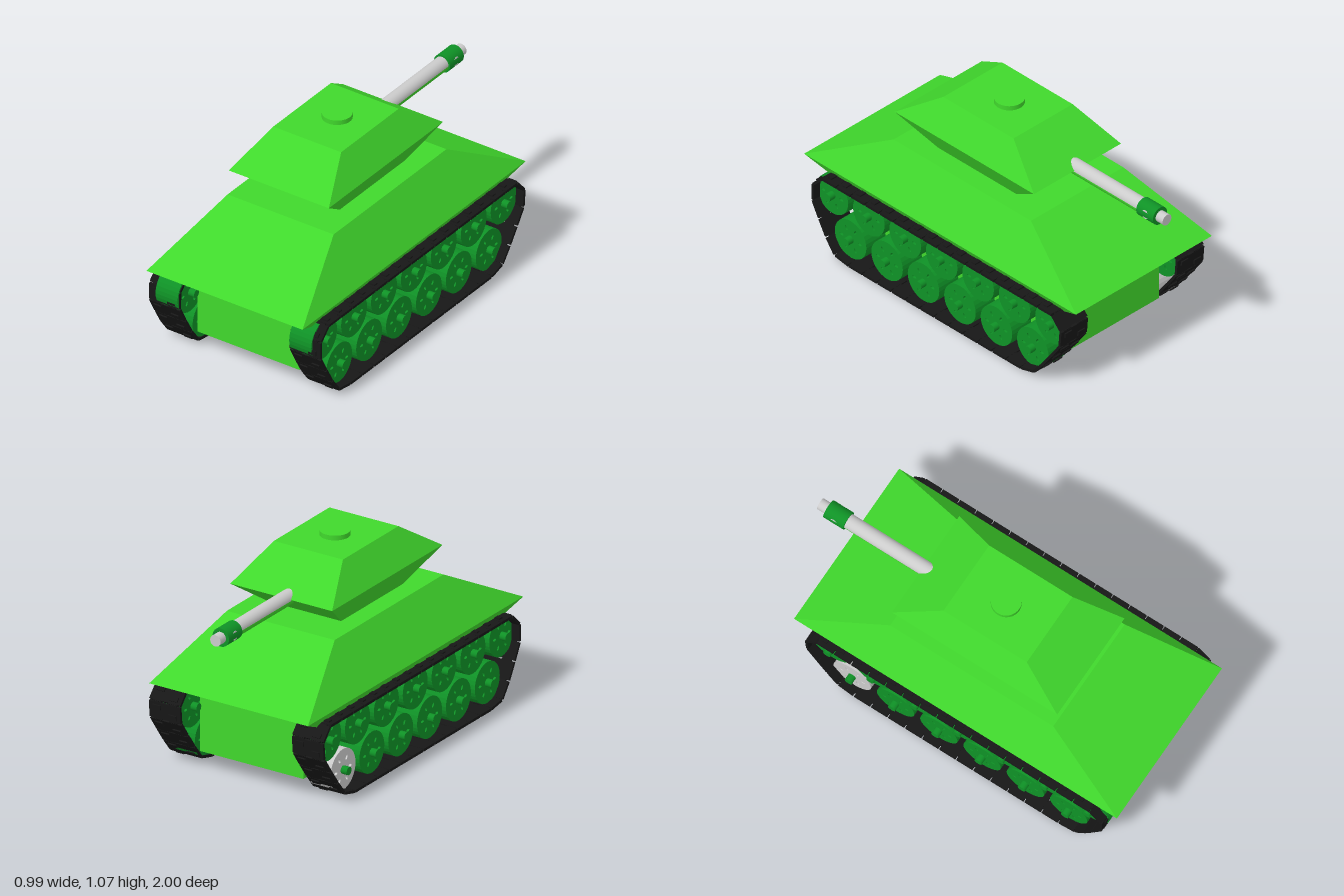
import * as THREE from 'three';
import { mergeGeometries } from 'three/addons/utils/BufferGeometryUtils.js';

const mat = (color, extra = {}) => new THREE.MeshStandardMaterial({ color, ...extra });

function add(parent, name, geometry, material, x = 0, y = 0, z = 0) {
  const mesh = new THREE.Mesh(geometry, material);
  mesh.name = name;
  mesh.position.set(x, y, z);
  parent.add(mesh);
  return mesh;
}

// Faceted solid through stacked rectangles [y, xMin, xMax, zMin, zMax], bottom to top
function stack(rings) {
  const corners = rings.map(([y, x0, x1, z0, z1]) => [[x0, y, z1], [x1, y, z1], [x1, y, z0], [x0, y, z0]]);
  const pos = [];
  const quad = (a, b, c, d) => pos.push(...a, ...b, ...c, ...a, ...c, ...d);
  for (let k = 0; k + 1 < corners.length; k++) {
    for (let i = 0; i < 4; i++) {
      const j = (i + 1) % 4;
      quad(corners[k][i], corners[k][j], corners[k + 1][j], corners[k + 1][i]);
    }
  }
  const [a, b, c, d] = corners[0];
  quad(d, c, b, a);
  quad(...corners[corners.length - 1]);
  const g = new THREE.BufferGeometry();
  g.setAttribute('position', new THREE.Float32BufferAttribute(pos, 3));
  g.computeVertexNormals();
  return g;
}

// Cylinder lying along z or x
const rodZ = (r, len, ...rest) => new THREE.CylinderGeometry(r, r, len, 24, 1, ...rest).rotateX(-Math.PI / 2);
const rodX = (r, len) => new THREE.CylinderGeometry(r, r, len, 16).rotateZ(Math.PI / 2);

// Road wheel disc pierced by a ring of six slots
function wheelGeometry(radius, width) {
  const shape = new THREE.Shape().absarc(0, 0, radius, 0, Math.PI * 2);
  for (let i = 0; i < 6; i++) {
    const a = (i / 6) * Math.PI * 2;
    const hole = new THREE.Path();
    hole.absellipse(Math.cos(a) * 0.062, Math.sin(a) * 0.062, 0.013, 0.007, 0, Math.PI * 2, true, a);
    shape.holes.push(hole);
  }
  return new THREE.ExtrudeGeometry(shape, { depth: width, bevelEnabled: false, curveSegments: 16 })
    .translate(0, 0, -width / 2).rotateY(Math.PI / 2);
}

// Track loop of chained link plates with raised pads
function trackGeometry(width, count) {
  const loop = [[-0.735, 0.437], [0.85, 0.437], [0.885, 0.415], [0.917, 0.335], [0.9, 0.27], [0.775, 0.05],
    [0.73, 0.016], [-0.58, 0.016], [-0.625, 0.05], [-0.785, 0.27], [-0.807, 0.335], [-0.78, 0.415], [-0.735, 0.437]];
  const path = new THREE.Path(loop.map(([z, y]) => new THREE.Vector2(z, y)));
  const pts = path.getSpacedPoints(count);
  const parts = [];
  for (let i = 0; i < count; i++) {
    const p = pts[i], q = pts[i + 1];
    const len = p.distanceTo(q);
    const place = (g) => parts.push(g
      .rotateX(-Math.atan2(q.y - p.y, q.x - p.x))
      .translate(0, (p.y + q.y) / 2, (p.x + q.x) / 2));
    place(new THREE.BoxGeometry(width, 0.014, len * 0.93));
    for (const s of [-1, 1]) {
      place(new THREE.BoxGeometry(0.05, 0.012, len * 1.02).translate(s * 0.045, 0, 0));
      place(new THREE.BoxGeometry(0.045, 0.008, 0.025).translate(s * 0.045, 0.01, s * 0.018));
    }
  }
  return mergeGeometries(parts);
}

export function createModel() {
  const model = new THREE.Group();
  model.name = 'tank';
  const green = mat(0x40d82c, { flatShading: true });
  const smoothGreen = mat(0x40d82c);
  const wheelGreen = mat(0x0f9226);
  const rubber = mat(0x171717);
  const grey = mat(0xcccccc);

  // Hull: lower box, flared underside and sloped upper armour
  add(model, 'hull', stack([
    [0.095, -0.305, 0.295, -0.66, 0.8],
    [0.39, -0.305, 0.295, -0.66, 0.8],
    [0.39, -0.41, 0.4, -0.66, 0.8],
    [0.485, -0.465, 0.455, -0.86, 1],
    [0.735, -0.315, 0.31, -0.405, 0.535],
  ]), green);

  // Turret and hatch
  const turret = new THREE.Group();
  turret.name = 'turret';
  model.add(turret);
  add(turret, 'turretBody', stack([
    [0.735, -0.215, 0.205, -0.2, 0.335],
    [0.883, -0.3, 0.29, -0.405, 0.547],
    [1.045, -0.205, 0.195, -0.17, 0.31],
  ]), green);
  add(turret, 'hatch', new THREE.CylinderGeometry(0.075, 0.075, 0.026, 32), smoothGreen, -0.005, 1.057, 0.06);

  // Gun pointing to the rear, with a two-tone barrel and a pierced muzzle collar
  const gun = new THREE.Group();
  gun.name = 'gun';
  gun.position.set(-0.022, 0.877, 0);
  turret.add(gun);
  add(gun, 'barrelTop', rodZ(0.039, 0.55, false, -Math.PI / 2, Math.PI), grey, 0, 0, -0.595);
  add(gun, 'barrelUnderside', rodZ(0.039, 0.55, false, Math.PI / 2, Math.PI), smoothGreen, 0, 0, -0.595);
  add(gun, 'muzzleCollar', rodZ(0.048, 0.115), wheelGreen, 0, 0, -0.895);
  add(gun, 'muzzlePort', rodX(0.024, 0.09), grey, 0, 0, -0.895);
  add(gun, 'muzzleTip', rodZ(0.03, 0.08), grey, 0, 0, -0.96);

  // Running gear on both sides: two staggered wheel rows inside each track
  const wheelGeo = wheelGeometry(0.108, 0.13);
  const axleGeo = rodX(0.021, 0.2);
  const trackGeo = trackGeometry(0.18, 40);
  for (const side of [1, -1]) {
    const gear = new THREE.Group();
    gear.name = side > 0 ? 'leftRunningGear' : 'rightRunningGear';
    gear.position.z = side > 0 ? 0 : 0.025;
    model.add(gear);
    add(gear, 'track', trackGeo, rubber, side * 0.406);
    for (const [y, z0, count] of [[0.335, 0.812, 7], [0.135, 0.687, 6]]) {
      for (let i = 0; i < count; i++) {
        const z = z0 - i * 0.2493;
        const bare = side < 0 && count === 6 && i === 5;
        add(gear, 'roadWheel', wheelGeo, bare ? grey : wheelGreen, side * 0.385, y, z);
        add(gear, 'axle', axleGeo, wheelGreen, side * 0.385, y, z);
      }
    }
  }
  return model;
}
